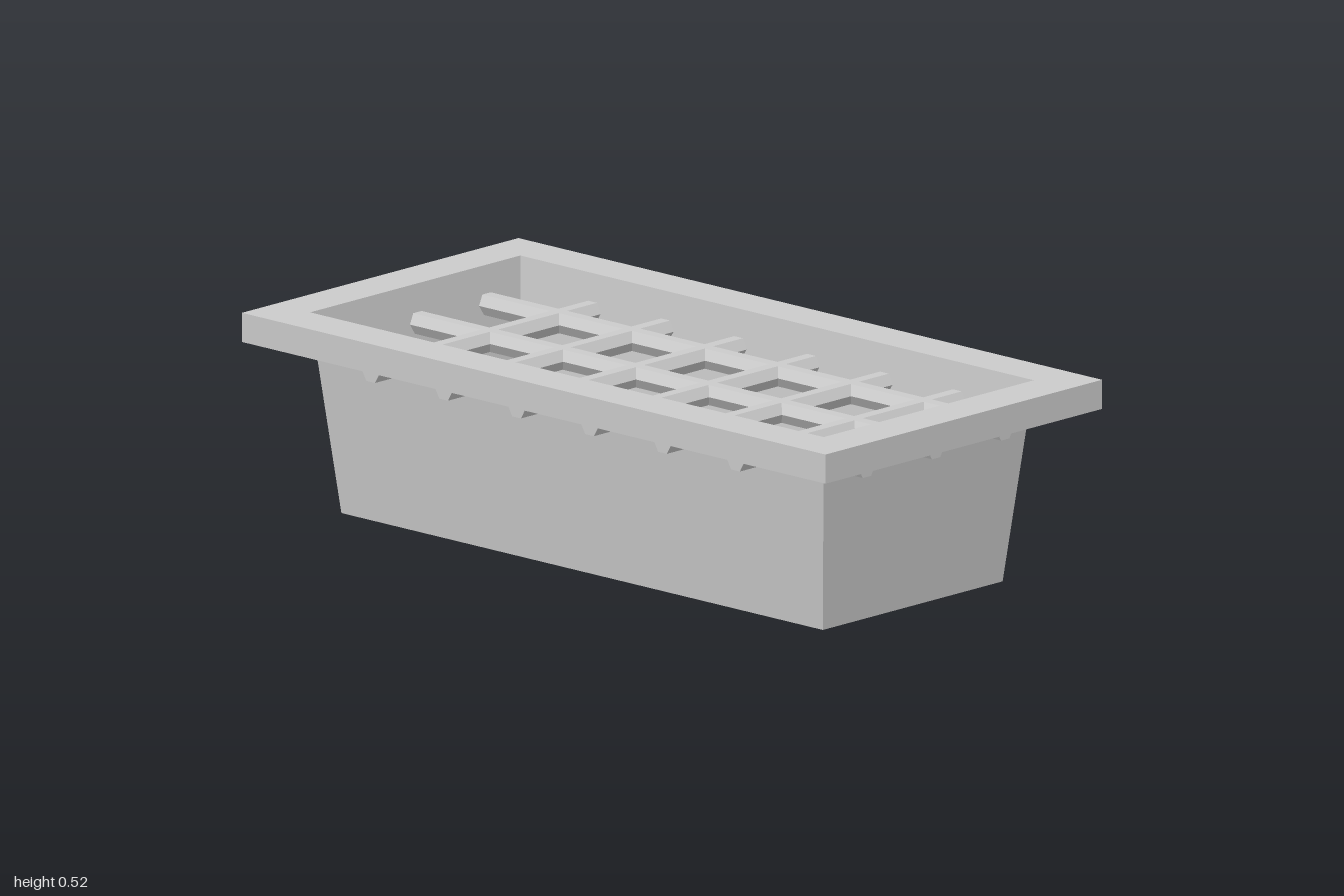
import * as THREE from 'three';

const material = new THREE.MeshStandardMaterial({
  color: 0xcccccc, flatShading: true, side: THREE.DoubleSide,
});

// Thin sheet lofted through rectangles given as [halfX, y, halfZ]
function rectLoft(name, sections) {
  const corners = [[1, 1], [1, -1], [-1, -1], [-1, 1]];
  const positions = [];
  for (let s = 0; s < sections.length - 1; s++) {
    for (let i = 0; i < 4; i++) {
      const point = ([hx, y, hz], c) => [hx * corners[c % 4][0], y, hz * corners[c % 4][1]];
      const a = point(sections[s], i), b = point(sections[s], i + 1);
      const c = point(sections[s + 1], i + 1), d = point(sections[s + 1], i);
      positions.push(...a, ...b, ...c, ...a, ...c, ...d);
    }
  }
  const geometry = new THREE.BufferGeometry();
  geometry.setAttribute('position', new THREE.Float32BufferAttribute(positions, 3));
  geometry.computeVertexNormals();
  const mesh = new THREE.Mesh(geometry, material);
  mesh.name = name;
  return mesh;
}

// Hexagonal bar along z, with flat top and bottom
function hexBar(name, length) {
  const geometry = new THREE.CylinderGeometry(0.03, 0.03, length, 6);
  geometry.rotateY(Math.PI / 6).rotateX(Math.PI / 2);
  const mesh = new THREE.Mesh(geometry, material);
  mesh.name = name;
  return mesh;
}

export function createModel() {
  const model = new THREE.Group();
  model.name = 'gratedDrain';
  const top = 0.517, barY = 0.42;

  // Rim: skirt and flat top, open underneath
  model.add(rectLoft('rim', [[1, 0.442, 0.5], [1, top, 0.5], [0.88, top, 0.38]]));

  // Tapered walls, open at both ends
  model.add(rectLoft('taperedWalls', [[0.825, 0, 0.325], [0.88, top, 0.38]]));

  // Grate bars, poking out through the walls
  const grate = new THREE.Group();
  grate.name = 'grate';
  for (let i = 0; i < 6; i++) {
    const bar = hexBar('crossBar', 0.86);
    bar.position.set(-0.625 + i * 0.25, barY, 0);
    grate.add(bar);
  }
  for (const z of [-0.25, 0, 0.25]) {
    const bar = hexBar('longBar', 1.81);
    bar.rotation.y = Math.PI / 2;
    bar.position.set(0, barY, z);
    grate.add(bar);
  }
  model.add(grate);
  return model;
}
